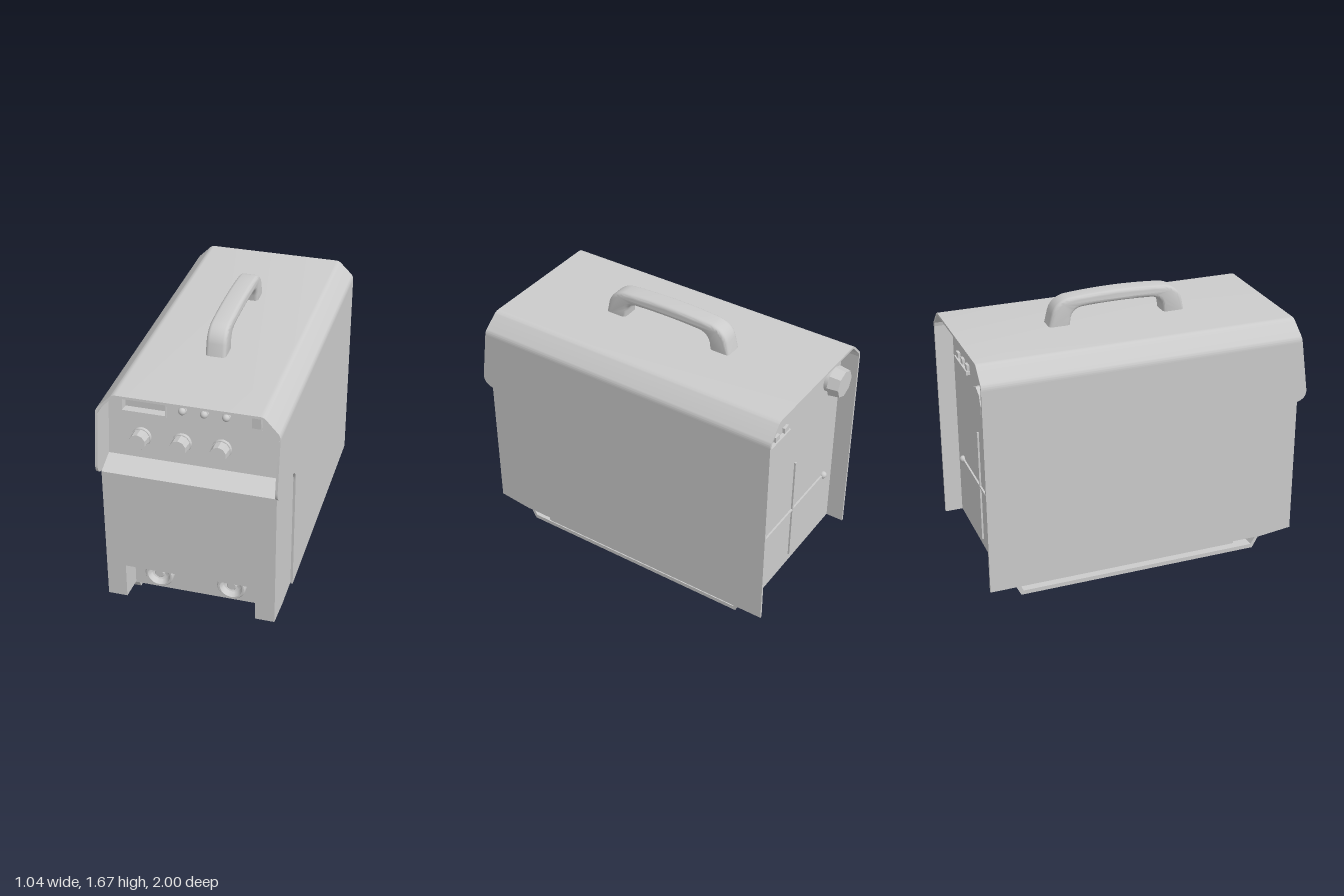
import * as THREE from 'three';
import { toCreasedNormals } from 'three/addons/utils/BufferGeometryUtils.js';

const material = new THREE.MeshStandardMaterial({ color: 0xcccccc });
const flatMaterial = new THREE.MeshStandardMaterial({ color: 0xcccccc, flatShading: true });

export function createModel() {
  const model = new THREE.Group();

  const add = (name, geometry, parent = model, mat = material) => {
    const mesh = new THREE.Mesh(geometry, mat);
    mesh.name = name;
    parent.add(mesh);
    return mesh;
  };
  const poly = (pts) => new THREE.Shape(pts.map(([x, y]) => new THREE.Vector2(x, y)));
  // Extrude an (x, y) shape from z0 to z1, optionally reshaping its front end
  const extrudeZ = (shape, z0, z1, reshape) => {
    const g = new THREE.ExtrudeGeometry(shape, { depth: z1 - z0, bevelEnabled: false, curveSegments: 8 });
    g.translate(0, 0, z0);
    const p = g.attributes.position;
    if (reshape) {
      for (let i = 0; i < p.count; i++) {
        if (p.getZ(i) > z1 - 0.001) reshape(p, i);
      }
    }
    return toCreasedNormals(g, 0.5);
  };
  // Extrude a (z, y) shape from x0 to x1
  const extrudeX = (shape, x0, x1, bevel = 0) => {
    const g = new THREE.ExtrudeGeometry(shape, {
      depth: x1 - x0 - 2 * bevel, bevelEnabled: bevel > 0, bevelThickness: bevel,
      bevelSize: bevel, bevelOffset: -bevel, bevelSegments: 4, curveSegments: 10,
    });
    g.rotateY(-Math.PI / 2).translate(x1 - bevel, 0, 0);
    return toCreasedNormals(g, 0.6);
  };
  const cylinderZ = (r1, r0, length, sides) =>
    new THREE.CylinderGeometry(r1, r0, length, sides).rotateX(Math.PI / 2).translate(0, 0, length / 2);
  const box = (w, h, d) => new THREE.BoxGeometry(w, h, d);

  // Inner body behind the front and rear panels
  add('innerBody', extrudeZ(poly([
    [-0.505, 0.093], [0.505, 0.093], [0.505, 1.385], [0.413, 1.478], [-0.413, 1.478], [-0.505, 1.385],
  ]), -0.89, 0.73));

  // Lower front with the connector notch, sloped ledge and raised toe
  add('frontCover', extrudeZ(poly([
    [-0.505, 0.09], [-0.39, 0.09], [-0.39, 0.34], [0.39, 0.34], [0.39, 0.09], [0.505, 0.09],
    [0.505, 1.065], [-0.505, 1.065],
  ]), 0.73, 0.95, (p, i) => {
    if (p.getY(i) > 1) p.setY(i, 0.985);
    if (p.getY(i) < 0.1) p.setY(i, 0.115);
  }));
  add('connectorPlate', box(0.78, 0.25, 0.07)).position.set(0, 0.217, 0.755);

  // Folded roof with sloped shoulders
  const roof = new THREE.Shape();
  roof.moveTo(0.52, 1.37);
  roof.quadraticCurveTo(0.52, 1.395, 0.505, 1.41);
  roof.lineTo(0.44, 1.475);
  roof.quadraticCurveTo(0.425, 1.492, 0.4, 1.492);
  roof.lineTo(-0.4, 1.492);
  roof.quadraticCurveTo(-0.425, 1.492, -0.44, 1.475);
  roof.lineTo(-0.505, 1.41);
  roof.quadraticCurveTo(-0.52, 1.395, -0.52, 1.37);
  roof.lineTo(-0.506, 1.37);
  roof.lineTo(-0.5, 1.395);
  roof.lineTo(-0.418, 1.478);
  roof.lineTo(0.418, 1.478);
  roof.lineTo(0.5, 1.395);
  roof.lineTo(0.506, 1.37);
  add('roof', extrudeZ(roof, -1, 0.94, (p, i) => p.setZ(i, 0.94 + (1.492 - p.getY(i)) * 0.13)));

  // Side panels with the forward hood cheeks
  const side = new THREE.Shape();
  side.moveTo(-1, 0.09);
  side.lineTo(0.555, 0.09);
  side.lineTo(0.555, 0.84);
  side.quadraticCurveTo(0.555, 0.93, 0.65, 0.945);
  side.lineTo(0.93, 0.985);
  side.quadraticCurveTo(1.005, 0.995, 1, 1.06);
  side.lineTo(0.956, 1.37);
  side.lineTo(-1, 1.37);
  add('leftSidePanel', extrudeX(side, 0.506, 0.52));
  add('rightSidePanel', extrudeX(side, -0.52, -0.506));

  // Carrying handle
  const handle = new THREE.Shape();
  handle.moveTo(0.4, 1.47);
  handle.lineTo(0.38, 1.565);
  handle.quadraticCurveTo(0.355, 1.64, 0.27, 1.655);
  handle.quadraticCurveTo(-0.03, 1.682, -0.33, 1.655);
  handle.quadraticCurveTo(-0.415, 1.64, -0.435, 1.565);
  handle.lineTo(-0.458, 1.47);
  handle.lineTo(-0.325, 1.47);
  handle.lineTo(-0.318, 1.53);
  handle.quadraticCurveTo(-0.305, 1.585, -0.25, 1.592);
  handle.quadraticCurveTo(-0.03, 1.605, 0.19, 1.592);
  handle.quadraticCurveTo(0.245, 1.585, 0.258, 1.53);
  handle.lineTo(0.265, 1.47);
  add('handle', extrudeX(handle, -0.06, 0.06, 0.022));

  // Tilted control panel with a recessed display window
  const controls = new THREE.Group();
  controls.name = 'controlPanel';
  controls.position.set(0, 1.04, 0.82);
  controls.rotation.x = -Math.atan(0.13);
  model.add(controls);
  const panel = poly([
    [-0.505, -0.04], [0.505, -0.04], [0.505, 0.35], [0.413, 0.443], [-0.413, 0.443], [-0.505, 0.35],
  ]);
  panel.holes.push(poly([[-0.425, 0.27], [-0.175, 0.27], [-0.175, 0.375], [-0.425, 0.375]]));
  add('panelFace', extrudeZ(panel, -0.06, 0), controls);
  const rim = poly([[-0.437, 0.258], [-0.165, 0.258], [-0.165, 0.387], [-0.437, 0.387]]);
  rim.holes.push(poly([[-0.425, 0.27], [-0.175, 0.27], [-0.175, 0.375], [-0.425, 0.375]]));
  add('displayFrame', extrudeZ(rim, -0.01, 0.006), controls);

  for (const x of [-0.31, -0.075, 0.155]) {
    const knob = new THREE.Group();
    knob.name = 'knob';
    knob.position.set(x, 0.122, 0);
    controls.add(knob);
    add('knobSkirt', cylinderZ(0.055, 0.057, 0.02, 32), knob);
    add('knobGrip', cylinderZ(0.048, 0.052, 0.07, 10), knob, flatMaterial).position.z = 0.02;
  }
  for (const x of [-0.075, 0.05, 0.175]) {
    const lamp = add('indicatorLamp', new THREE.SphereGeometry(0.022, 20, 12), controls);
    lamp.position.set(x, 0.318, 0.012);
    add('lampCollar', cylinderZ(0.025, 0.025, 0.012, 24), controls).position.set(x, 0.318, 0);
  }
  add('switchFrame', box(0.064, 0.094, 0.012), controls).position.set(0.347, 0.318, 0.004);
  const rocker = add('switchRocker', box(0.05, 0.075, 0.02), controls);
  rocker.position.set(0.347, 0.318, 0.01);
  rocker.rotation.x = 0.15;

  // Output connectors with a bowl and centre pin
  const socket = [
    [0.086, 0], [0.086, 0.06], [0.078, 0.07], [0.068, 0.07], [0.055, 0.035], [0.03, 0.02],
    [0.03, 0.05], [0.024, 0.056], [0, 0.056],
  ].map(([r, y]) => new THREE.Vector2(r, y));
  for (const x of [-0.22, 0.22]) {
    const g = toCreasedNormals(new THREE.LatheGeometry(socket, 36).rotateX(Math.PI / 2), 0.6);
    add('outputConnector', g).position.set(x, 0.235, 0.79);
  }

  // Skids: slanted open frames under each side
  for (const x of [-0.43, 0.43]) {
    const skid = poly([[-0.8, 0], [0.71, 0], [0.762, 0.093], [-0.845, 0.093]]);
    skid.holes.push(poly([[-0.785, 0.026], [0.7, 0.026], [0.73, 0.075], [-0.81, 0.075]]));
    add('skid', extrudeX(skid, x - 0.042, x + 0.042));
  }

  // Rear panel fittings
  const rear = new THREE.Group();
  rear.name = 'rearFittings';
  rear.position.z = -0.89;
  model.add(rear);
  add('verticalRod', box(0.014, 0.725, 0.014), rear).position.set(0, 0.508, -0.004);
  add('horizontalRod', box(0.77, 0.012, 0.014), rear).position.set(0, 0.508, -0.004);
  for (const x of [-0.385, 0.385]) {
    add('rodEnd', new THREE.SphereGeometry(0.023, 16, 12), rear).position.set(x, 0.508, -0.006);
  }
  add('terminalStrip', box(0.27, 0.022, 0.03), rear).position.set(0.26, 1.2, -0.01);
  for (const x of [0.16, 0.26, 0.36]) {
    add('terminal', box(0.045, 0.04, 0.02), rear).position.set(x, 1.225, -0.006);
  }
  const dial = new THREE.Group();
  dial.name = 'rearKnob';
  dial.position.set(-0.37, 1.25, 0);
  dial.rotation.y = Math.PI;
  rear.add(dial);
  add('rearKnobBase', cylinderZ(0.075, 0.075, 0.04, 24), dial);
  add('rearKnobGrip', cylinderZ(0.085, 0.095, 0.07, 8), dial, flatMaterial).position.z = 0.03;

  return model;
}
